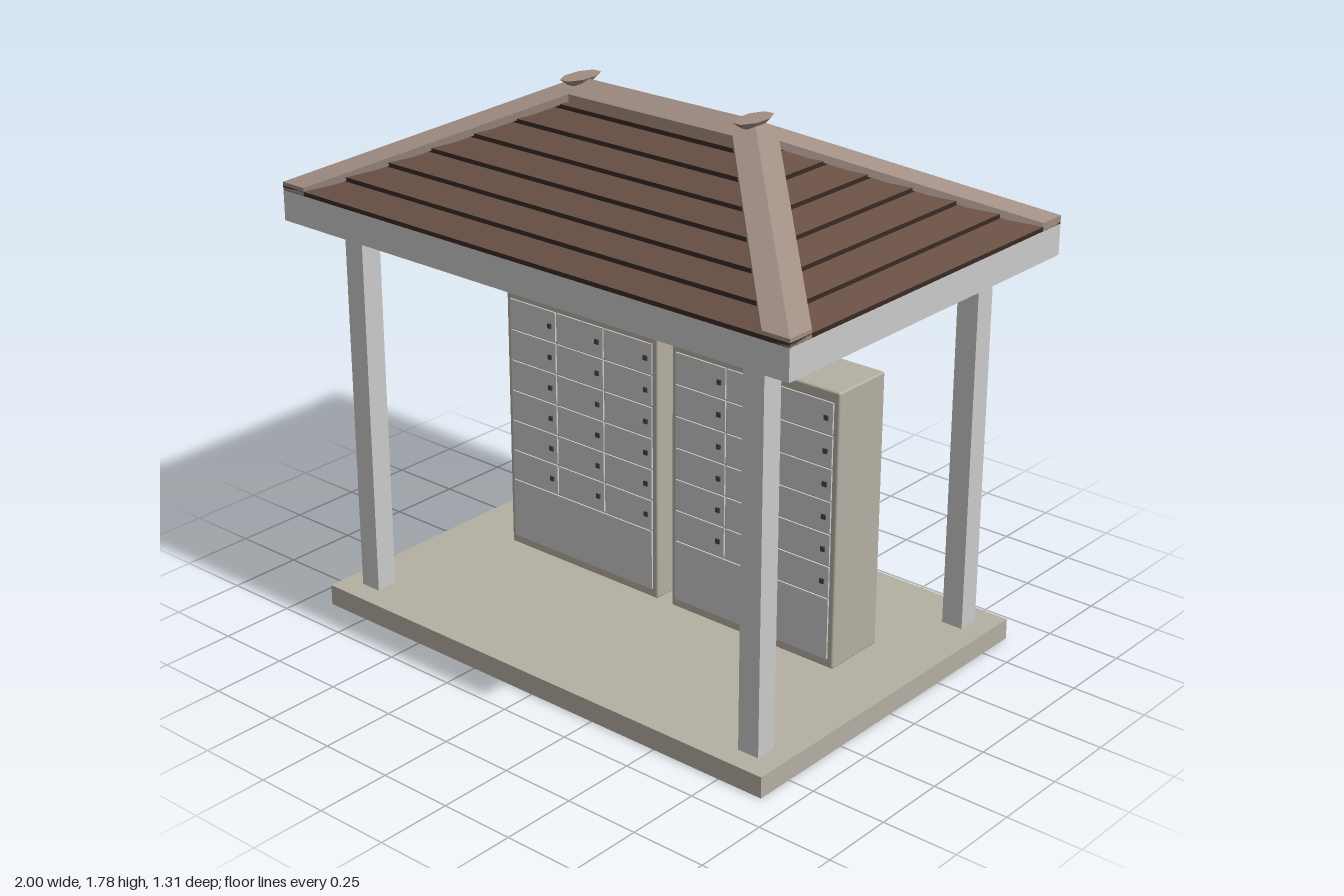
import * as THREE from 'three';
import { RoundedBoxGeometry } from 'three/addons/geometries/RoundedBoxGeometry.js';

function mat(name, color, double = false) {
  const m = new THREE.MeshStandardMaterial({ color });
  m.name = name;
  if (double) m.side = THREE.DoubleSide;
  return m;
}

const HX = 1, HZ = 0.655; // half sizes of the eaves

// Flat-shaded surface from quads, each a list of four [x, y, z] corners
function quadSurface(quads) {
  const pos = quads.flatMap(([a, b, c, d]) => [a, b, c, a, c, d].flat());
  const g = new THREE.BufferGeometry();
  g.setAttribute('position', new THREE.Float32BufferAttribute(pos, 3));
  g.computeVertexNormals();
  return g;
}

// Rectangle of the hip roof, inset by d, at height y
const ring = (d, y) => [[1, 1], [1, -1], [-1, -1], [-1, 1]].map(([sx, sz]) => [sx * (HX - d), y, sz * (HZ - d)]);
const band = (lo, hi) => lo.map((p, i) => [p, lo[(i + 1) % 4], hi[(i + 1) % 4], hi[i]]);

export function createModel() {
  const grey = mat('light grey paint', 0xcacaca);
  const beige = mat('beige', 0xb5afa2);
  const brown = mat('brown shingle', 0x684f44, true);
  const dark = mat('dark brown shingle edge', 0x3a2a25, true);
  const trim = mat('ridge trim', 0xa08d83, true);
  const lockMat = mat('dark lock', 0x444444);

  const model = new THREE.Group();
  model.name = 'mailboxShelter';

  const add = (parent, name, geometry, material, x = 0, y = 0, z = 0) => {
    const mesh = new THREE.Mesh(geometry, material);
    mesh.name = name;
    mesh.position.set(x, y, z);
    parent.add(mesh);
    return mesh;
  };
  const box = (parent, name, material, w, h, d, x, y, z) =>
    add(parent, name, new THREE.BoxGeometry(w, h, d), material, x, y, z);

  // Floor slab, posts and eaves frame
  box(model, 'floorSlab', beige, 1.82, 0.07, 1.26, 0, 0.035, 0);
  for (const sx of [-1, 1]) for (const sz of [-1, 1])
    box(model, 'post', grey, 0.075, 1.26, 0.075, sx * 0.8, 0.7, sz * 0.517);
  box(model, 'eavesFrame', grey, 2 * HX, 0.1, 2 * HZ, 0, 1.38, 0);

  // Hip roof laid in overlapping courses, each with a dark lower edge
  const roof = new THREE.Group();
  roof.name = 'roof';
  model.add(roof);
  const courses = 7, step = HZ / courses;
  const baseY = (d) => 1.43 + d * 0.47;
  const slopes = [], edges = [];
  for (let i = 0; i < courses; i++) {
    const d = i * step;
    const lip = ring(d, baseY(d) + 0.014);
    slopes.push(...band(lip, ring(d + step, baseY(d + step))));
    edges.push(...band(ring(d, baseY(d)), lip));
  }
  add(roof, 'shingleCourses', quadSurface(slopes), brown);
  add(roof, 'shingleEdges', quadSurface(edges), dark);

  // Hip and ridge trim: plan outlines draped just over the slopes, with a thin skirt
  const trimY = (x, z) => 1.456 + 0.487 * Math.min(HX - Math.abs(x), HZ - Math.abs(z));
  const drape = ([x, z], drop = 0) => [x, trimY(x, z) - drop, z];
  const apex = HX - HZ, wide = 0.095, half = 0.075;
  const hips = [], ridge = [];
  for (const sx of [-1, 1]) for (const sz of [-1, 1]) {
    const P = (x, z) => [sx * x, sz * z];
    const corner = P(HX, HZ), top = P(apex, 0);
    const frontLow = P(HX - wide, HZ), frontTop = P(HX - wide - (HZ - half), half);
    const sideLow = P(HX, HZ - wide), sideTop = P(apex + wide, 0);
    const flip = (q) => (sx * sz > 0 ? q : q.reverse());
    const skirt = (a, b) => flip([drape(a, 0.025), drape(b, 0.025), drape(b), drape(a)]);
    hips.push(
      flip([frontLow, corner, top, frontTop].map((p) => drape(p))),
      flip([corner, sideLow, sideTop, top].map((p) => drape(p))),
      skirt(frontTop, frontLow), skirt(frontLow, corner), skirt(corner, sideLow), skirt(sideLow, sideTop));
  }
  for (const s of [-1, 1]) {
    const a = [-apex, s * half], b = [apex, s * half];
    const top = [drape([apex, 0]), drape([-apex, 0])];
    const face = [drape(a), drape(b), ...top];
    const skirt = [drape(a, 0.025), drape(b, 0.025), drape(b), drape(a)];
    ridge.push(s > 0 ? face : face.reverse(), s > 0 ? skirt : skirt.reverse());
  }
  add(roof, 'hipTrim', quadSurface(hips), trim);
  add(roof, 'ridgeTrim', quadSurface(ridge), trim);

  // Small flared caps where the hips meet the ridge
  const capGeo = new THREE.CylinderGeometry(1, 0.6, 0.022, 8).toNonIndexed();
  capGeo.rotateY(Math.PI / 8);
  capGeo.scale(0.042, 1, 0.083);
  capGeo.computeVertexNormals();
  for (const s of [-1, 1]) add(roof, 'ridgeEndCap', capGeo, trim, s * 0.342, 1.767, 0);

  // Two mailbox cabinets with three columns of six doors over a lower panel
  const rowTop = 0.967, rowH = 0.109, colW = 0.207, gap = 0.006;
  for (const s of [-1, 1]) {
    const cabinet = new THREE.Group();
    cabinet.name = s > 0 ? 'leftCabinet' : 'rightCabinet';
    cabinet.position.x = s * 0.3575;
    model.add(cabinet);
    add(cabinet, 'cabinetBody', new RoundedBoxGeometry(0.655, 0.93, 0.225, 2, 0.007), beige, 0, 0.535, -0.1125);
    for (let c = 0; c < 3; c++) for (let r = 0; r < 6; r++) {
      const x = (c - 1) * colW, y = rowTop - (r + 0.5) * rowH;
      box(cabinet, 'mailboxDoor', grey, colW - gap, rowH - gap, 0.008, x, y, 0.002);
      box(cabinet, 'doorLock', lockMat, 0.016, 0.016, 0.006, x + 0.077, y, 0.008);
    }
    box(cabinet, 'lowerPanel', grey, 3 * colW - gap, 0.208, 0.008, 0, 0.206, 0.002);
  }
  return model;
}
